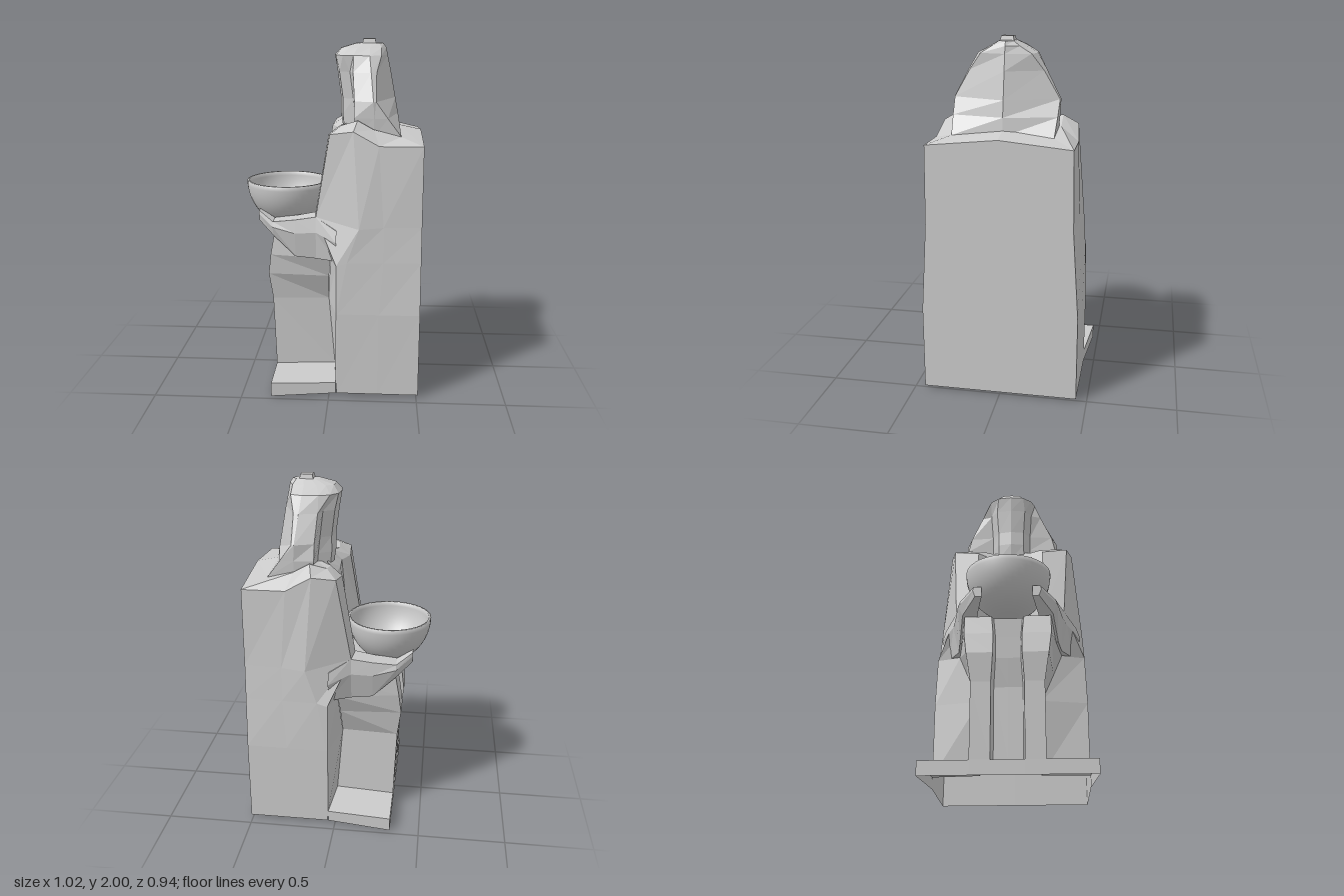
import * as THREE from 'three';

const grey = new THREE.MeshStandardMaterial({ color: 0xcccccc, flatShading: true, side: THREE.DoubleSide });
const smooth = new THREE.MeshStandardMaterial({ color: 0xcccccc, side: THREE.DoubleSide });

// Complete a half cross-section (z >= 0) with its mirror image
const mirrorArc = (arc) => {
  const back = arc.map(([x, y, z]) => [x, y, -z]).reverse();
  return arc.concat(arc[arc.length - 1][2] === 0 ? back.slice(1) : back);
};

// Skin a list of rows holding equally many points
function skin(name, rows, flip = false) {
  const n = rows[0].length, index = [];
  for (let r = 0; r < rows.length - 1; r++) {
    for (let i = 0; i < n - 1; i++) {
      const a = r * n + i, b = a + 1, c = b + n, d = a + n;
      if (flip) index.push(a, c, b, a, d, c);
      else index.push(a, b, c, a, c, d);
    }
  }
  const g = new THREE.BufferGeometry();
  g.setAttribute('position', new THREE.Float32BufferAttribute(rows.flat(2), 3));
  g.setIndex(index);
  g.computeVertexNormals();
  const mesh = new THREE.Mesh(g, grey);
  mesh.name = name;
  return mesh;
}

const symmetric = (name, rows, flip) => skin(name, rows.map(mirrorArc), flip);
const atHeight = (y, pts) => pts.map(([x, z]) => [x, y, z]);

export function createModel() {
  const model = new THREE.Group();
  model.name = 'seatedFigure';

  // Block seat merging into back, upper arms and shoulders; open below
  model.add(symmetric('seatAndTorso', [
    [[0.02, 0.08, 0.17], [0.04, 0.08, 0.44], [0.045, 0.015, 0.44], [0.28, 0.015, 0.44], [0.51, 0.015, 0.44], [0.51, 0.015, 0]],
    [[-0.015, 0.5, 0.18], [0.04, 0.5, 0.443], [0.05, 0.5, 0.443], [0.28, 0.5, 0.442], [0.51, 0.5, 0.44], [0.51, 0.5, 0]],
    [[0, 0.78, 0.3], [0.04, 0.78, 0.435], [0.1, 0.8, 0.437], [0.3, 0.8, 0.43], [0.51, 0.8, 0.42], [0.51, 0.8, 0]],
    [[-0.09, 1.03, 0.2], [-0.08, 1.03, 0.32], [0.165, 0.99, 0.432], [0.3, 1, 0.42], [0.51, 1, 0.407], [0.51, 1, 0]],
    [[-0.015, 1.48, 0.2], [0, 1.5, 0.35], [0.13, 1.52, 0.385], [0.27, 1.445, 0.4], [0.51, 1.445, 0.4], [0.51, 1.485, 0]],
    [[0.05, 1.53, 0.18], [0.06, 1.54, 0.27], [0.15, 1.57, 0.3], [0.24, 1.52, 0.3], [0.39, 1.48, 0.28], [0.39, 1.51, 0]],
    atHeight(1.53, Array(6).fill([0.2, 0])),
  ]));

  // Chest set back between the upper arms
  model.add(symmetric('chest', [
    [[-0.09, 0.95, 0.2], [-0.01, 0.95, 0.12], [-0.02, 0.95, 0]],
    [[-0.07, 1.15, 0.2], [0, 1.15, 0.12], [-0.01, 1.15, 0]],
    [[-0.015, 1.48, 0.2], [0.03, 1.47, 0.13], [0.02, 1.47, 0]],
    [[0.05, 1.53, 0.18], [0.08, 1.53, 0.12], [0.08, 1.53, 0]],
  ], true));

  // Legs with a groove between the shins, closed above by the lap
  model.add(symmetric('legs', [
    atHeight(0.08, [[0.02, 0.17], [-0.33, 0.2], [-0.33, 0.09], [-0.24, 0.08], [-0.24, 0]]),
    atHeight(0.5, [[-0.015, 0.18], [-0.345, 0.2], [-0.345, 0.09], [-0.25, 0.08], [-0.25, 0]]),
    atHeight(0.66, [[-0.01, 0.25], [-0.365, 0.225], [-0.365, 0.08], [-0.28, 0.07], [-0.28, 0]]),
    atHeight(0.78, [[0, 0.3], [-0.35, 0.24], [-0.35, 0.08], [-0.29, 0.07], [-0.29, 0]]),
    atHeight(0.89, [[0, 0.3], [-0.33, 0.24], [-0.33, 0.09], [-0.3, 0.08], [-0.3, 0]]),
    [[0, 0.97, 0.2], [-0.3, 0.89, 0.2], [-0.3, 0.89, 0.1], [-0.28, 0.89, 0.08], [-0.28, 0.89, 0]],
    atHeight(0.97, Array(5).fill([0, 0])),
  ], true));

  // Thin foot slab, cut out around the legs
  const rim = [[0.04, 0.44], [-0.33, 0.47], [-0.33, 0.2], [-0.33, 0.09], [-0.33, 0.09], [-0.33, 0]];
  model.add(symmetric('footSlab', [
    rim.map(([x, z]) => [x, x > 0 ? 0.015 : 0, z]),
    atHeight(0.08, rim),
    atHeight(0.08, [[0.02, 0.17], [-0.33, 0.2], [-0.33, 0.2], [-0.33, 0.09], [-0.24, 0.08], [-0.24, 0]]),
  ], true));

  // Forearms reaching forward to hold the bowl: x, bottom, top, outer z, inner z
  const sections = [
    [0.04, 0.785, 0.97, 0.415, 0.22],
    [-0.08, 0.78, 1.03, 0.335, 0.19],
    [-0.2, 0.785, 1.005, 0.31, 0.185],
    [-0.33, 0.9, 0.985, 0.28, 0.17],
    [-0.42, 0.97, 1.03, 0.19, 0.14],
    [-0.42, 1.0, 1.0, 0.16, 0.16],
  ];
  const armRows = sections.map(([x, b, t, zo, zi]) => {
    const m = b + (t - b) * 0.65;
    return [[x, b, zi], [x, b, zo - (zo - zi) * 0.25], [x, m, zo], [x, t, zo - (zo - zi) * 0.1], [x, t, zi], [x, b, zi]];
  });
  for (const side of [1, -1]) {
    const arm = skin(side > 0 ? 'leftForearm' : 'rightForearm', armRows, true);
    arm.scale.z = side;
    model.add(arm);
  }

  // Head with beard and flaring headcloth
  model.add(symmetric('headAndHeadcloth', [
    atHeight(1.48, [[0.06, 0], [0.07, 0.08], [0.14, 0.12], [0.14, 0.27], [0.24, 0.285], [0.39, 0.28], [0.39, 0]]),
    atHeight(1.58, [[0.045, 0], [0.06, 0.08], [0.13, 0.12], [0.13, 0.28], [0.24, 0.293], [0.315, 0.288], [0.375, 0]]),
    atHeight(1.67, [[0.045, 0], [0.06, 0.08], [0.12, 0.12], [0.13, 0.26], [0.235, 0.297], [0.25, 0.292], [0.358, 0]]),
    atHeight(1.82, [[0.025, 0], [0.04, 0.09], [0.1, 0.13], [0.12, 0.19], [0.22, 0.218], [0.25, 0.205], [0.33, 0]]),
    atHeight(1.91, [[0.01, 0], [0.02, 0.08], [0.06, 0.13], [0.12, 0.155], [0.21, 0.165], [0.275, 0.14], [0.31, 0]]),
    atHeight(1.95, [[0.045, 0], [0.05, 0.05], [0.09, 0.08], [0.14, 0.09], [0.21, 0.09], [0.275, 0.075], [0.303, 0]]),
    atHeight(1.975, [[0.13, 0], [0.135, 0.03], [0.15, 0.04], [0.18, 0.045], [0.22, 0.045], [0.26, 0.04], [0.285, 0]]),
    atHeight(1.98, Array(7).fill([0.2, 0])),
  ]));

  // Small tapered knob on the crown
  const knob = new THREE.Mesh(new THREE.CylinderGeometry(0.046, 0.058, 0.035, 4, 1), grey);
  knob.name = 'crownKnob';
  knob.geometry.rotateY(Math.PI / 4);
  knob.position.set(0.205, 1.9825, 0);
  model.add(knob);

  // Hollow round bowl
  const profile = [];
  const steps = 16;
  const addArc = (radius, depth, from, to) => {
    for (let i = 0; i <= steps; i++) {
      const a = THREE.MathUtils.lerp(from, to, i / steps);
      profile.push(new THREE.Vector2(radius * Math.sin(a), -depth * Math.cos(a)));
    }
  };
  addArc(0.243, 0.27, 0, Math.PI / 2);
  addArc(0.229, 0.254, Math.PI / 2, 0);
  const bowl = new THREE.Mesh(new THREE.LatheGeometry(profile, 40), smooth);
  bowl.name = 'bowl';
  bowl.position.set(-0.27, 1.18, 0);
  model.add(bowl);

  return model;
}
